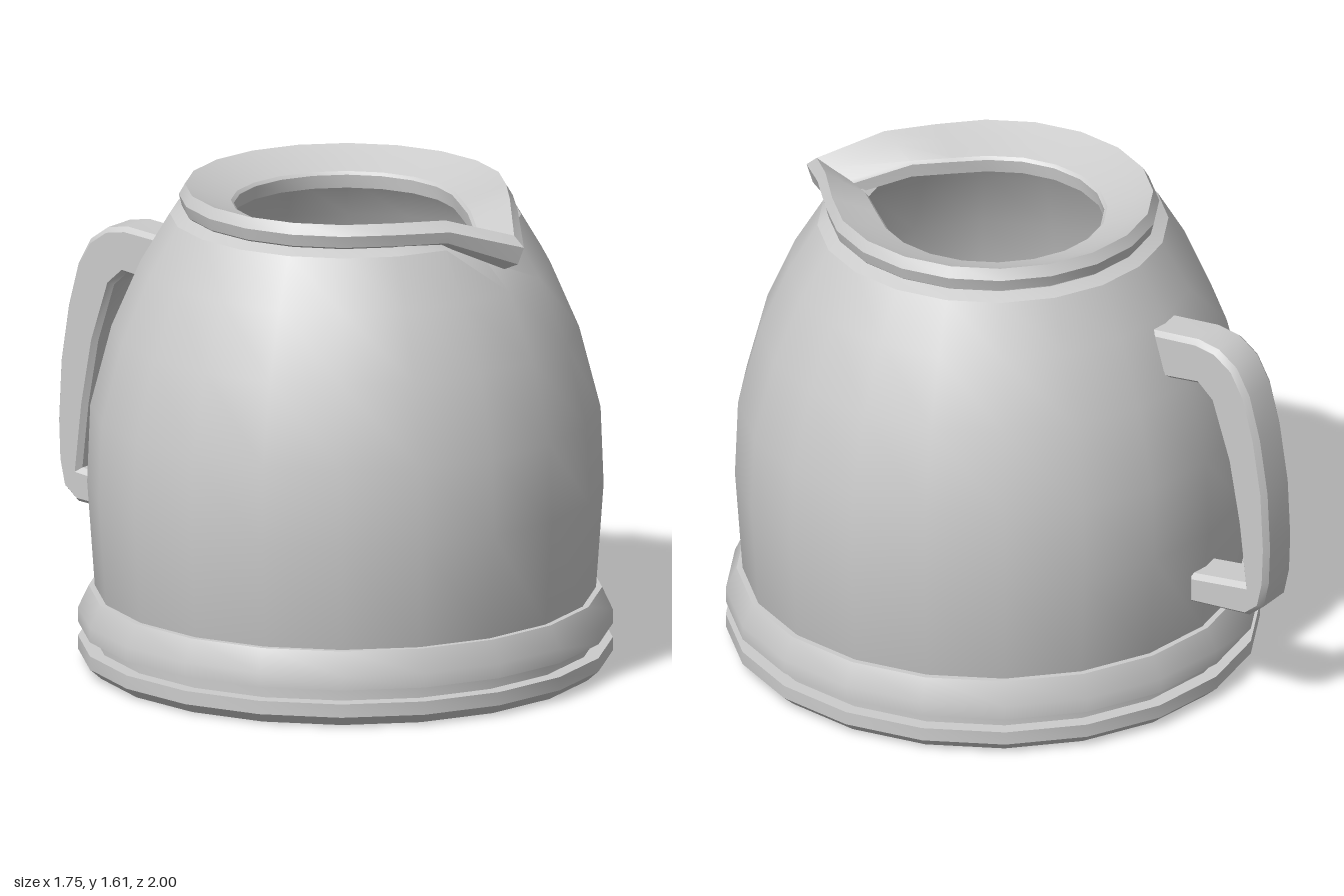
import * as THREE from 'three';
import { toCreasedNormals } from 'three/addons/utils/BufferGeometryUtils.js';

const SIDES = 20;
const AXIS_Z = 0.125; // the vessel stands forward of the handle

export function createModel() {
  const group = new THREE.Group();
  group.name = 'jug';
  const material = new THREE.MeshStandardMaterial({ color: 0xcccccc, side: THREE.DoubleSide });

  const add = (name, geometry, z = 0, crease = 0.55) => {
    const mesh = new THREE.Mesh(toCreasedNormals(geometry, crease), material);
    mesh.name = name;
    mesh.position.z = z;
    group.add(mesh);
  };
  const points = (list) => list.map(([x, y]) => new THREE.Vector2(x, y));
  const lathe = (list) => new THREE.LatheGeometry(points(list), SIDES);

  // Grooved base: foot disc, recess and chamfered collar
  add('base', lathe([
    [0, 0], [0.835, 0], [0.875, 0.035], [0.875, 0.08], [0.825, 0.08],
    [0.825, 0.127], [0.875, 0.127], [0.875, 0.175], [0.84, 0.25], [0.79, 0.25],
  ]), AXIS_Z);

  // Hollow body: outer wall upwards, inner wall back down to the floor
  const body = lathe([
    [0.805, 0.2], [0.82, 0.25], [0.845, 0.6], [0.835, 0.86], [0.765, 1.13],
    [0.67, 1.35], [0.575, 1.51], [0.53, 1.53],
    [0.51, 1.5], [0.55, 1.48], [0.64, 1.34], [0.735, 1.12], [0.805, 0.86],
    [0.815, 0.6], [0.79, 0.27], [0, 0.27],
  ]);
  // Dip the rim at the front to make room for the spout
  const bodyPos = body.attributes.position;
  for (let i = 0; i < bodyPos.count; i++) {
    const front = Math.abs(bodyPos.getX(i)) < 1e-4 && bodyPos.getZ(i) > 0.1;
    if (front && bodyPos.getY(i) > 1.45) bodyPos.setY(i, bodyPos.getY(i) - 0.07);
  }
  add('body', body, AXIS_Z);

  // Rim with spout; each row: radius, height, reach at spout tip, height at spout tip
  const rows = [
    [0.37, 1.5, 0.55, 1.45],
    [0.5, 1.52, 0.65, 1.425],
    [0.535, 1.535, 0.705, 1.45],
    [0.545, 1.575, 0.73, 1.51],
    [0.525, 1.61, 0.69, 1.545],
    [0.465, 1.585, 0.635, 1.525],
    [0.375, 1.555, 0.56, 1.5],
    [0.365, 1.545, 0.55, 1.49],
    [0.37, 1.5, 0.55, 1.45],
  ];
  const rim = lathe(rows);
  const rimPos = rim.attributes.position;
  for (let i = 0; i < rimPos.count; i++) {
    const [r, y, tip, tipY] = rows[i % rows.length];
    const step = Math.floor(i / rows.length);
    const angle = (step / SIDES) * Math.PI * 2;
    const fromFront = Math.min(angle, Math.PI * 2 - angle);
    // Straight tangents run from the round rim to the tip
    const reach = r / Math.cos(Math.max(0, Math.acos(r / tip) - fromFront));
    const atTip = step % SIDES === 0;
    rimPos.setXYZ(i, Math.sin(angle) * reach, atTip ? tipY : y, Math.cos(angle) * reach);
  }
  add('spoutedRim', rim, AXIS_Z, 0.4);

  // Handle: side outline (z, y) extruded across x with a small bevel
  const outline = new THREE.Shape(points([
    [-0.545, 1.33], [-0.72, 1.345], [-0.8, 1.33], [-0.87, 1.28], [-0.92, 1.19],
    [-0.96, 1.04], [-0.99, 0.85], [-1, 0.65], [-0.995, 0.52], [-0.975, 0.43],
    [-0.92, 0.385], [-0.69, 0.37], [-0.69, 0.475], [-0.905, 0.5], [-0.88, 0.72],
    [-0.84, 0.94], [-0.775, 1.14], [-0.725, 1.185], [-0.59, 1.17],
  ]));
  const handle = new THREE.ExtrudeGeometry(outline, {
    depth: 0.12, bevelThickness: 0.02, bevelSize: 0.015, bevelOffset: -0.015, bevelSegments: 1,
  });
  handle.translate(0, 0, -0.06);
  handle.rotateY(-Math.PI / 2);
  add('handle', handle);

  return group;
}
